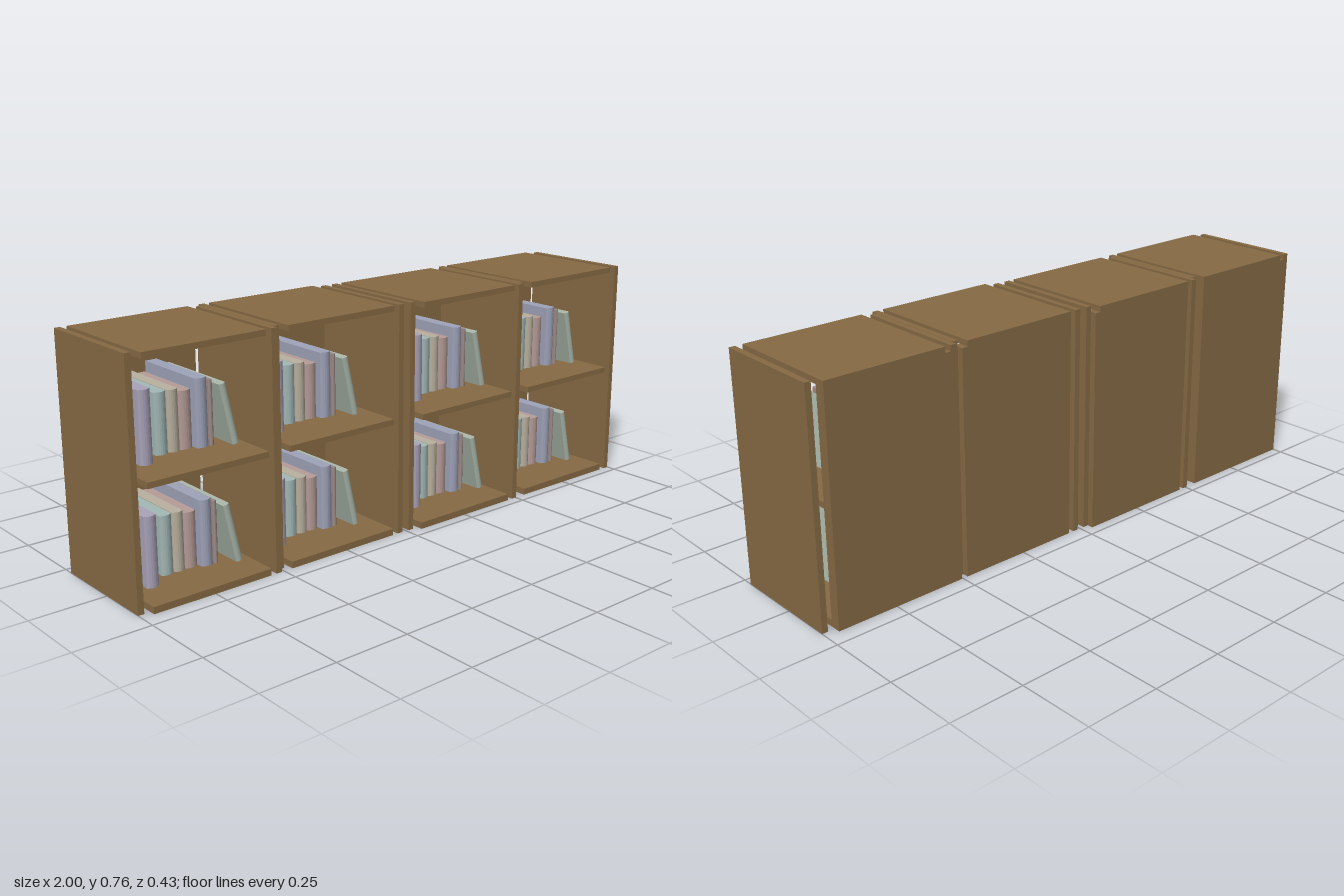
import * as THREE from 'three';

const wood = new THREE.MeshStandardMaterial({ color: 0x866a44 });
const THICK = 0.02, HEIGHT = 0.763, TOP_W = 0.412, DEPTH = 0.41;

// x and width, height, setback from the front, cover colour, lean
const BOOKS = [
  { x: 0.0, w: 0.04, h: 0.22, set: 0, color: 0xa9a3b8 },
  { x: 0.043, w: 0.032, h: 0.143, set: 0.07, color: 0xae9bac },
  { x: 0.08, w: 0.04, h: 0.187, set: 0.05, color: 0xa3b8b5 },
  { x: 0.123, w: 0.037, h: 0.187, set: 0.05, color: 0xb8b09f },
  { x: 0.161, w: 0.042, h: 0.177, set: 0.05, color: 0xb59c98 },
  { x: 0.206, w: 0.04, h: 0.21, set: 0.03, color: 0x9fa3b8 },
  { x: 0.249, w: 0.013, h: 0.2, set: 0.03, color: 0x9c8a86 },
  { x: 0.309, w: 0.022, h: 0.195, set: 0, color: 0xa6b3a6, lean: 0.22 },
].map((b) => ({ ...b, material: new THREE.MeshStandardMaterial({ color: b.color }) }));

// Board given by its lower and upper corners
function board(name, x0, x1, y0, y1, z0, z1) {
  const mesh = new THREE.Mesh(new THREE.BoxGeometry(x1 - x0, y1 - y0, z1 - z0), wood);
  mesh.position.set((x0 + x1) / 2, (y0 + y1) / 2, (z0 + z1) / 2);
  mesh.name = name;
  return mesh;
}

// Upright block with a gently rounded spine at the front
function book({ w, h, set, material, lean = 0 }) {
  const depth = 0.305 - set, bulge = Math.min(0.008, w * 0.25);
  const shape = new THREE.Shape();
  shape.moveTo(-w / 2, 0);
  shape.lineTo(-w / 2, -(depth - bulge));
  shape.quadraticCurveTo(0, -(depth + bulge), w / 2, -(depth - bulge));
  shape.lineTo(w / 2, 0);
  const geometry = new THREE.ExtrudeGeometry(shape, { depth: h, bevelEnabled: false, curveSegments: 6 });
  geometry.rotateX(-Math.PI / 2);
  const mesh = new THREE.Mesh(geometry, material);
  mesh.rotation.z = lean;
  mesh.name = lean ? 'leaningBook' : 'book';
  return mesh;
}

function bookRow(x, y, z) {
  const row = new THREE.Group();
  row.name = 'bookRow';
  for (const b of BOOKS) {
    const mesh = book(b);
    mesh.position.x = b.x + b.w / 2;
    row.add(mesh);
  }
  row.position.set(x, y, z);
  return row;
}

// One bookcase: loose side panels, three shelves, back panel and two rows of books
function bookcase({ shelfX, leftX, rightX, backX, booksX, z }) {
  const unit = new THREE.Group();
  unit.name = 'bookcase';
  const shelfEnd = shelfX + TOP_W, front = z + DEPTH;
  unit.add(
    board('sidePanel', leftX, leftX + THICK, 0, HEIGHT, z, z + 0.39),
    board('sidePanel', rightX, rightX + THICK, 0, HEIGHT, z + 0.021, front),
    board('backPanel', backX, backX + 0.432, 0, 0.744, z, z + 0.036),
    board('bottomShelf', shelfX, shelfEnd, 0, 0.022, z, front),
    board('middleShelf', shelfX, shelfEnd, 0.376, 0.395, z + 0.02, front),
    board('topBoard', shelfX, shelfEnd, 0.744, HEIGHT, z, front),
    bookRow(booksX, 0.046, z + 0.04),
    bookRow(booksX, 0.418, z + 0.04),
  );
  return unit;
}

export function createModel() {
  const model = new THREE.Group();
  model.name = 'bookcaseRow';
  const units = [
    { shelfX: -0.96, leftX: -1, rightX: -0.529, backX: -0.98, booksX: -0.936, z: -0.216 },
    { shelfX: -0.468, leftX: -0.507, rightX: -0.036, backX: -0.468, booksX: -0.477, z: -0.216 },
    { shelfX: 0.05, leftX: 0.01, rightX: 0.482, backX: 0.05, booksX: 0.07, z: -0.194 },
    { shelfX: 0.544, leftX: 0.504, rightX: 0.98, backX: 0.524, booksX: 0.534, z: -0.194 },
  ];
  for (const u of units) model.add(bookcase(u));
  return model;
}
